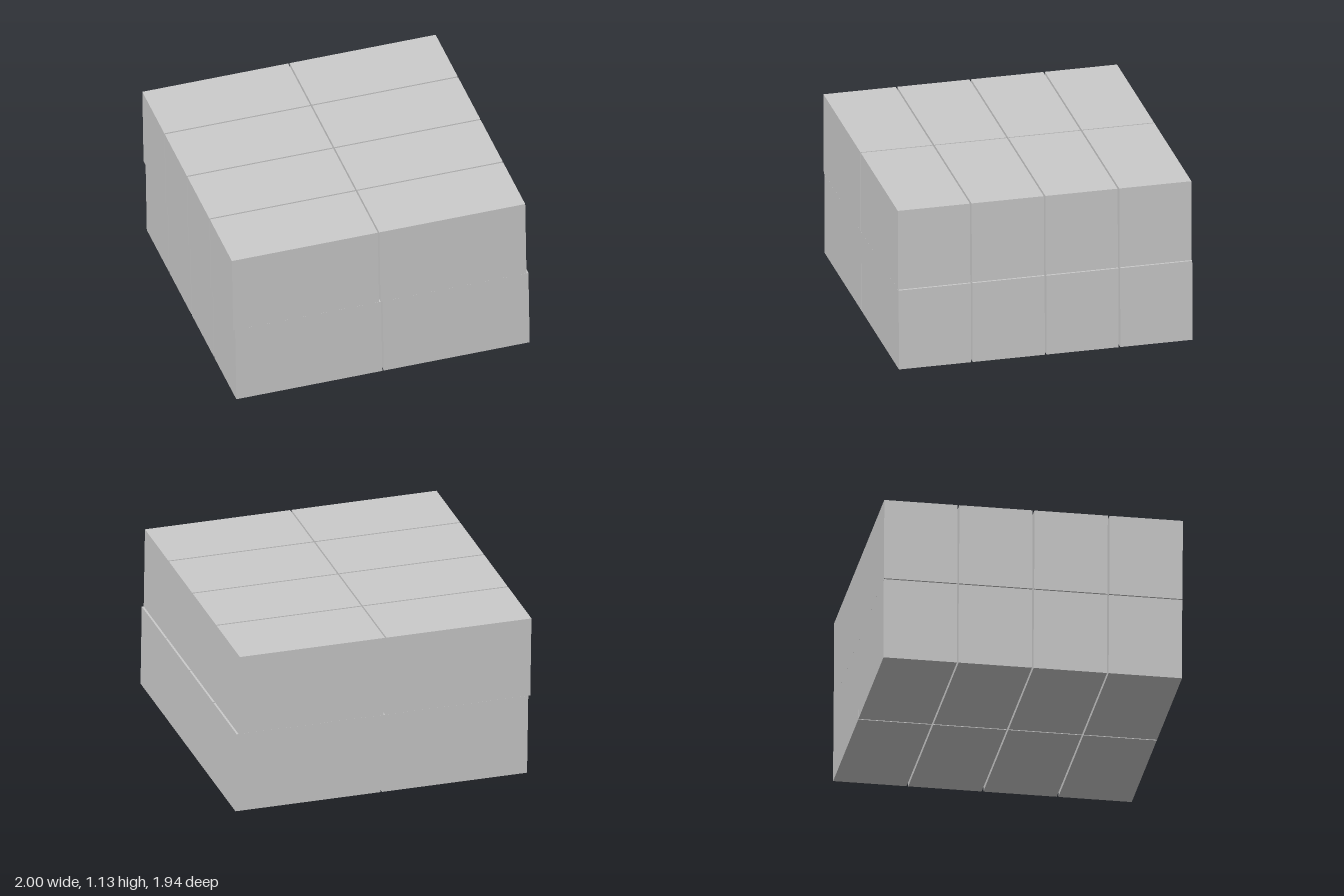
import * as THREE from 'three';

// Stack of blocks: 2 columns x 2 layers x 4 rows, slightly tilted, with thin gaps
export function createModel() {
  const model = new THREE.Group();
  model.name = 'blockStack';
  const material = new THREE.MeshStandardMaterial({ color: 0xcccccc, flatShading: true });

  const tilt = 0.0153;
  const width = 0.98, height = 0.55, depth = 0.477;
  const columnPitch = 0.99, rowPitch = 0.488;
  const block = new THREE.BoxGeometry(width, height, depth);

  // Lower left corner of each layer; the upper one is offset a little sideways
  const layers = [
    { name: 'lowerLayer', x: -0.97, y: 0 },
    { name: 'upperLayer', x: -0.9916, y: height },
  ];

  for (const { name, x, y } of layers) {
    const layer = new THREE.Group();
    layer.name = name;
    layer.position.set(x, y, 0);
    layer.rotation.z = tilt;
    for (let column = 0; column < 2; column++) {
      for (let row = 0; row < 4; row++) {
        const mesh = new THREE.Mesh(block, material);
        mesh.name = 'block';
        mesh.position.set(width / 2 + column * columnPitch, height / 2, (row - 1.5) * rowPitch);
        layer.add(mesh);
      }
    }
    model.add(layer);
  }
  return model;
}
